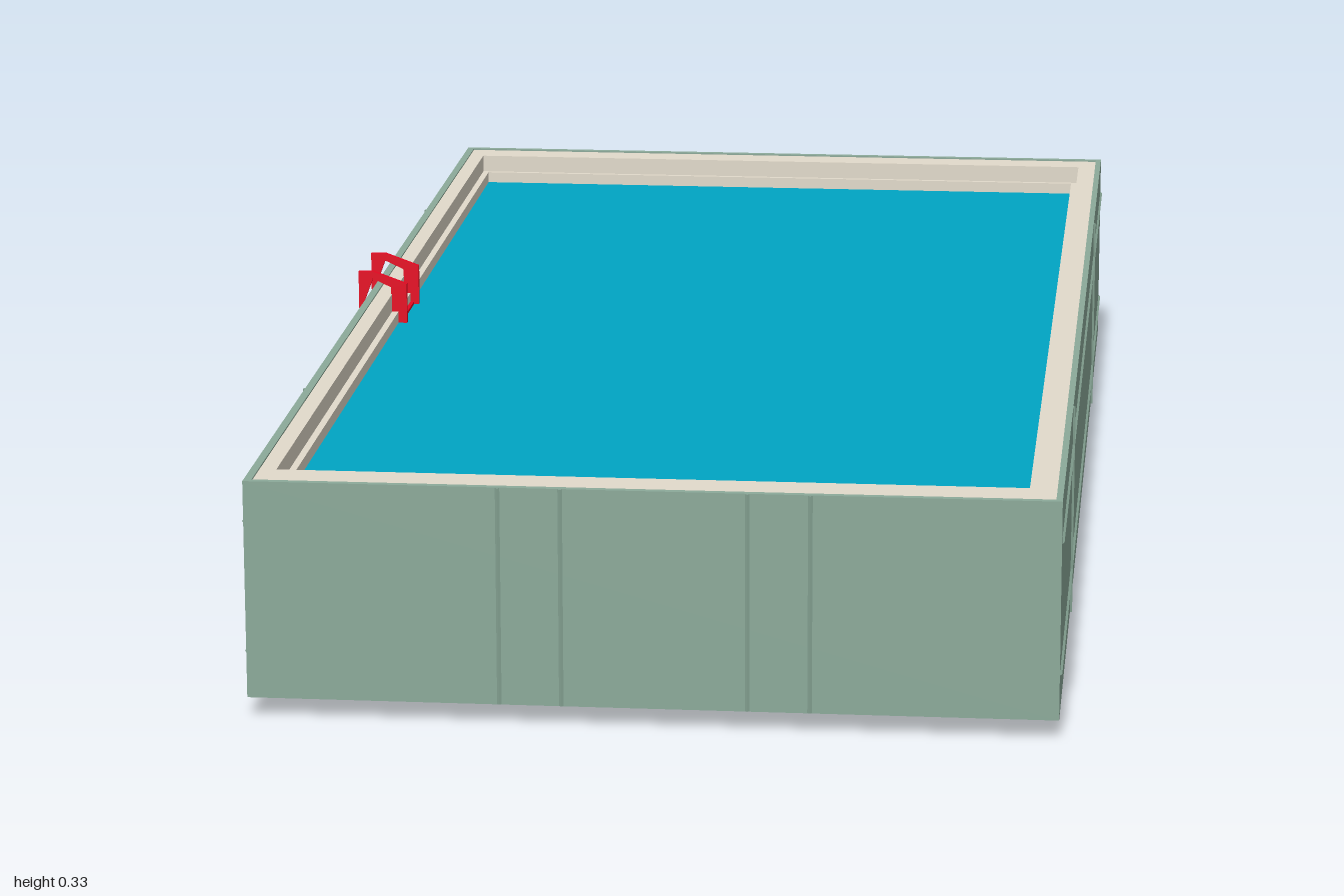
import * as THREE from 'three';

const mat = (name, color) => {
  const m = new THREE.MeshStandardMaterial({ color });
  m.name = name;
  return m;
};

export function createModel() {
  const group = new THREE.Group();
  const green = mat('sage panel', 0x8caa9a);
  const beige = mat('beige tub', 0xe2dacb);
  const blue = mat('water blue', 0x00a5c4);
  const red = mat('ladder red', 0xec0622);

  const add = (name, geo, material) => {
    const mesh = new THREE.Mesh(geo, material);
    mesh.name = name;
    group.add(mesh);
    return mesh;
  };
  // Box given by its limits on each axis
  const box = (name, material, x0, x1, y0, y1, z0, z1) =>
    add(name, new THREE.BoxGeometry(x1 - x0, y1 - y0, z1 - z0), material)
      .position.set((x0 + x1) / 2, (y0 + y1) / 2, (z0 + z1) / 2);
  // Rectangular ring seen from above; limits are [x0, x1, z0, z1]
  const ring = (name, material, o, i, y0, y1) => {
    const corners = ([x0, x1, z0, z1]) => [[x0, -z1], [x1, -z1], [x1, -z0], [x0, -z0]]
      .map(([x, y]) => new THREE.Vector2(x, y));
    const shape = new THREE.Shape(corners(o));
    shape.holes.push(new THREE.Path(corners(i)));
    const geo = new THREE.ExtrudeGeometry(shape, { depth: y1 - y0, bevelEnabled: false });
    geo.rotateX(-Math.PI / 2);
    add(name, geo, material).position.y = y0;
  };

  // Outer cladding, tub walls, lower inner liner
  const clad = [-0.497, 0.508, -0.997, 0.997];
  const tub = [-0.487, 0.5, -0.988, 0.988];
  const mouth = [-0.466, 0.474, -0.945, 0.932];
  const basin = [-0.457, 0.463, -0.938, 0.918];
  ring('outerCladding', green, clad, tub, 0.025, 0.303);
  ring('tubWall', beige, tub, mouth, 0.03, 0.301);
  ring('innerLiner', beige, mouth, basin, 0.03, 0.276);
  box('tubFloor', beige, mouth[0], mouth[1], 0.03, 0.04, mouth[2], mouth[3]);
  box('water', blue, basin[0], basin[1], 0.04, 0.26, basin[2], basin[3]);

  // Panel joints: fine ridges, square bars turned on edge
  const ridge = 0.004;
  for (const z of [clad[2], clad[3]]) {
    for (const x of [-0.182, -0.105, 0.125, 0.202]) {
      const joint = add('endJoint', new THREE.BoxGeometry(ridge, 0.277, ridge), green);
      joint.position.set(x, 0.164, z);
      joint.rotation.y = Math.PI / 4;
    }
  }
  for (const x of [clad[0], clad[1]]) {
    for (const z of [-0.54, 0.54]) {
      const joint = add('sideJoint', new THREE.BoxGeometry(ridge, 0.277, ridge), green);
      joint.position.set(x, 0.164, z);
      joint.rotation.y = Math.PI / 4;
    }
    for (const y of [0.083, 0.25]) {
      const seam = add('sideSeam', new THREE.BoxGeometry(ridge, ridge, 1.98), green);
      seam.position.set(x, y, 0);
      seam.rotation.z = Math.PI / 4;
    }
  }
  // Small service plate on the back, at the lower corner
  box('servicePlate', beige, -0.486, -0.409, 0.03, 0.09, -1, -0.996);

  // Ladder: two hooked flat rails and rungs
  const rail = new THREE.Shape([
    [-0.513, 0.333], [-0.492, 0.333], [-0.445, 0.316], [-0.445, 0], [-0.467, 0],
    [-0.467, 0.311], [-0.493, 0.323], [-0.509, 0.28], [-0.513, 0.28],
  ].map(([x, y]) => new THREE.Vector2(x, y)));
  for (const z of [-0.121, -0.008]) {
    const geo = new THREE.ExtrudeGeometry(rail, { depth: 0.007, bevelEnabled: false });
    add('ladderRail', geo, red).position.z = z;
  }
  for (const y of [0.032, 0.089, 0.146, 0.203, 0.258]) {
    box('ladderRung', red, -0.465, -0.452, y - 0.006, y + 0.006, -0.115, -0.007);
  }
  return group;
}
